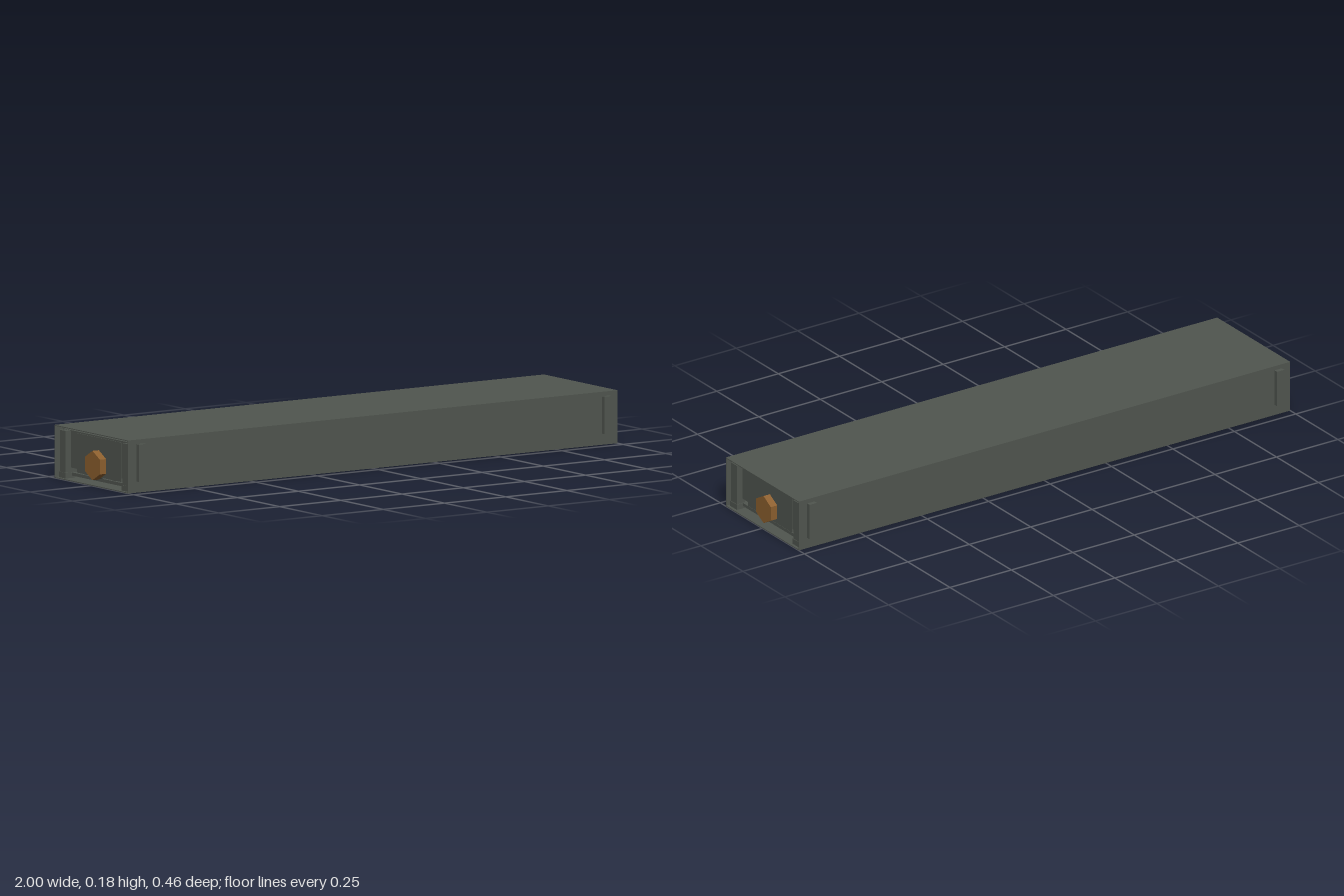
import * as THREE from 'three';

export function createModel() {
  const model = new THREE.Group();
  model.name = 'beam';
  const steel = new THREE.MeshStandardMaterial({ color: 0x50554f });
  steel.name = 'dark grey steel';
  const brass = new THREE.MeshStandardMaterial({ color: 0x8c5f2e });
  brass.name = 'brass';

  const add = (parent, name, geometry, material, x, y, z) => {
    const mesh = new THREE.Mesh(geometry, material);
    mesh.name = name;
    mesh.position.set(x, y, z);
    parent.add(mesh);
    return mesh;
  };
  // Box given by its limits along each axis
  const box = (parent, name, [x0, x1], [y0, y1], [z0, z1]) =>
    add(parent, name, new THREE.BoxGeometry(x1 - x0, y1 - y0, z1 - z0), steel,
      (x0 + x1) / 2, (y0 + y1) / 2, (z0 + z1) / 2);

  // Hollow thin-walled casing, open at both ends
  const W = 0.217, H = 0.18, T = 0.003;
  const rect = (path, w, y0, y1) => path.moveTo(-w, y0).lineTo(w, y0).lineTo(w, y1).lineTo(-w, y1).closePath();
  const section = rect(new THREE.Shape(), W, 0, H);
  section.holes.push(rect(new THREE.Path(), W - T, T, H - T));
  const casing = new THREE.ExtrudeGeometry(section, { depth: 2, bevelEnabled: false });
  casing.translate(0, 0, -1).rotateY(Math.PI / 2);
  add(model, 'casing', casing, steel, 0, 0, 0);

  // End fitting, built for the +x end
  const makeEnd = () => {
    const end = new THREE.Group();
    end.name = 'endFitting';
    // Cross plate whose tabs pass through the side walls
    box(end, 'crossPlate', [0.936, 0.966], [0.038, 0.165], [-0.232, 0.232]);
    box(end, 'mountPanel', [0.955, 0.969], [0.026, 0.16], [-0.13, 0.13]);
    box(end, 'bottomRail', [0.95, 0.965], [0.011, 0.022], [-0.165, 0.165]);
    for (const s of [-1, 1]) {
      const span = (a, b) => (s > 0 ? [a, b] : [-b, -a]);
      box(end, 'post', [0.955, 0.988], [0.02, 0.164], span(0.168, 0.202));
      box(end, 'postFoot', [0.952, 0.99], [0.001, 0.022], span(0.165, 0.205));
      box(end, 'panelLug', [0.956, 0.966], [0.024, 0.03], span(0.073, 0.091));
    }
    // Hexagonal bolt on a matching backing plate, one corner down
    const hex = (name, radius, length, material, x) => {
      const g = new THREE.CylinderGeometry(radius, radius, length, 6).toNonIndexed();
      g.computeVertexNormals();
      g.rotateY(Math.PI / 2).rotateZ(-Math.PI / 2);
      g.rotateX(Math.PI / 2 * Math.round(0));
      // Turn the hexagon so a corner points straight down
      const p = g.attributes.position;
      let low = 1;
      for (let i = 0; i < p.count; i++) low = Math.min(low, p.getY(i));
      if (low > -radius * 0.95) g.rotateX(Math.PI / 6);
      add(end, name, g, material, x, 0.068, 0);
    };
    hex('boltBacking', 0.049, 0.012, steel, 0.962);
    hex('boltHead', 0.05, 0.026, brass, 0.982);
    return end;
  };
  const leftEnd = makeEnd();
  const rightEnd = makeEnd();
  rightEnd.rotation.y = Math.PI;
  model.add(leftEnd, rightEnd);
  return model;
}
